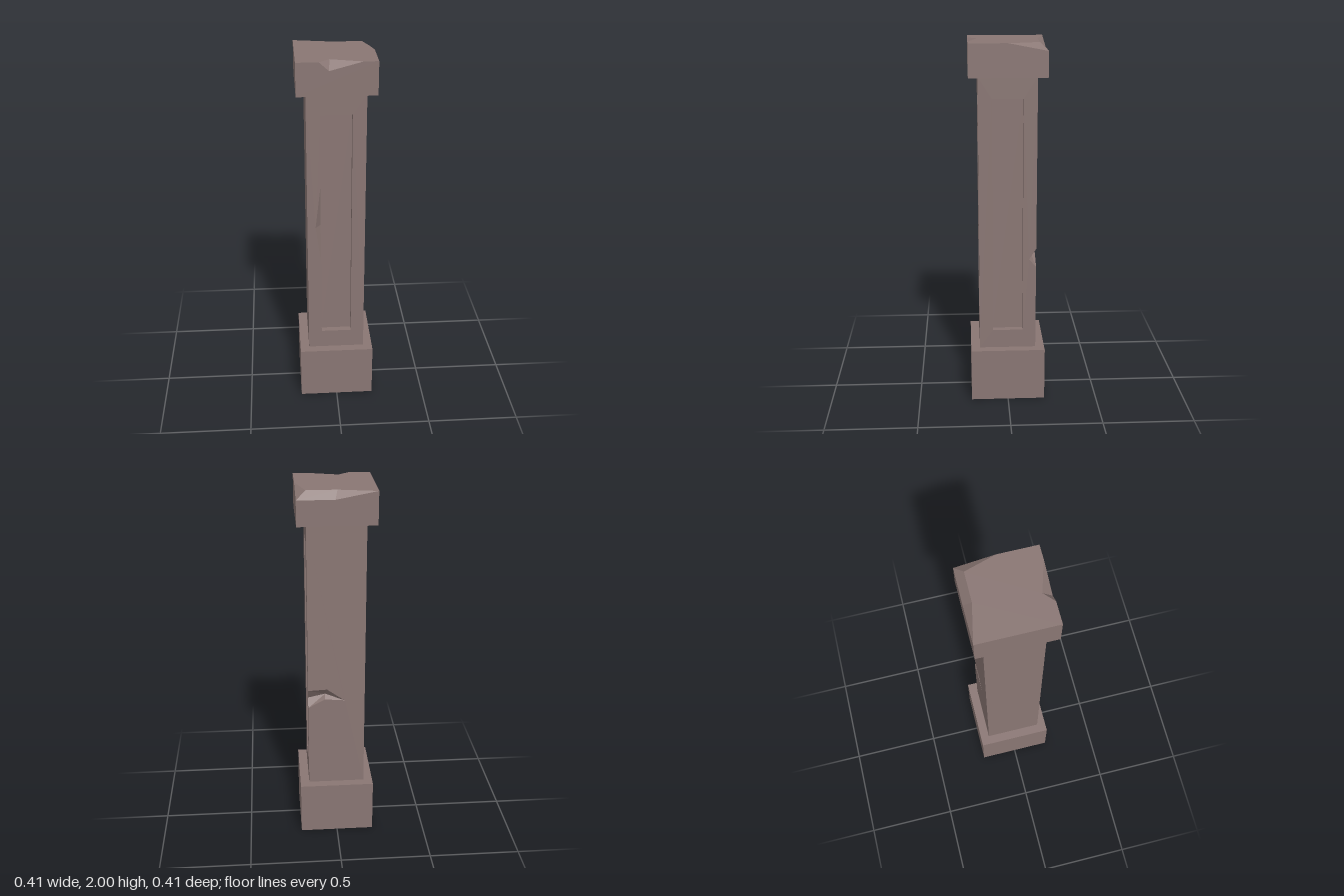
import * as THREE from 'three';

const V = (x, y, z) => new THREE.Vector3(x, y, z);

// Flat polygon faces (corners counter-clockwise from outside, optional hole) joined in one geometry
function facesToGeometry(faces) {
  const pos = [];
  for (const { pts, hole = [] } of faces) {
    const n = V(0, 0, 0);
    pts.forEach((a, i) => n.add(a.clone().cross(pts[(i + 1) % pts.length])));
    n.normalize();
    const u = (Math.abs(n.y) > 0.9 ? V(1, 0, 0) : V(0, 1, 0)).cross(n).normalize();
    const v = n.clone().cross(u);
    const flat = (list) => list.map((p) => new THREE.Vector2(p.dot(u), p.dot(v)));
    const all = [...pts, ...hole];
    const tris = THREE.ShapeUtils.triangulateShape(flat(pts), hole.length ? [flat(hole)] : []);
    for (const [i, j, k] of tris) {
      let [a, b, c] = [all[i], all[j], all[k]];
      if (b.clone().sub(a).cross(c.clone().sub(a)).dot(n) < 0) [b, c] = [c, b];
      pos.push(...a.toArray(), ...b.toArray(), ...c.toArray());
    }
  }
  const g = new THREE.BufferGeometry();
  g.setAttribute('position', new THREE.Float32BufferAttribute(pos, 3));
  g.computeVertexNormals();
  return g;
}

// Shaft with two recessed panels, a chipped panel edge and a chipped back corner
function shaftGeometry() {
  const s = 0.156, f = 0.121, y0 = 0.3, y1 = 1.825;
  const p = 0.083, b = 0.405, t = 1.71;
  const faces = [];
  const add = (pts, hole) => faces.push({ pts, hole });

  // Recess floor and walls; "turn" places the front layout on another side
  const recess = (turn, plainLeft) => {
    const quad = (...q) => add(q.map((c) => turn(...c)));
    quad([-p, b, f], [p, b, f], [p, t, f], [-p, t, f]);
    quad([p, b, f], [p, b, s], [p, t, s], [p, t, f]);
    quad([-p, b, s], [p, b, s], [p, b, f], [-p, b, f]);
    quad([-p, t, f], [p, t, f], [p, t, s], [-p, t, s]);
    if (plainLeft) quad([-p, b, s], [-p, b, f], [-p, t, f], [-p, t, s]);
  };
  const toSide = (x, y, z) => V(z, y, -x);
  recess(V, false);
  recess(toSide, true);

  // Front, with the long chip on the panel edge
  const cTop = V(-p, 1.32, s), cApex = V(-0.112, 1.07, s), cLow = V(-p, 0.85, s), cDeep = V(-p, 1.07, f);
  add([V(-s, y0, s), V(s, y0, s), V(s, y1, s), V(-s, y1, s)],
    [V(-p, b, s), V(p, b, s), V(p, t, s), V(-p, t, s), cTop, cApex, cLow]);
  add([V(-p, b, s), V(-p, b, f), cDeep, cLow]);
  add([cTop, cDeep, V(-p, t, f), V(-p, t, s)]);
  add([cTop, cApex, cDeep]);
  add([cApex, cLow, cDeep]);

  // Side and back, sharing the corner chip
  const U1 = V(s, 0.885, -s), U2 = V(0.052, 0.89, -s), T = V(-0.044, 0.82, -s);
  const L1 = V(s, 0.78, -s), L2 = V(0.064, 0.83, -s);
  const A = V(s, 0.825, -0.117), B = V(0.06, 0.85, -0.125);
  add([V(s, y0, s), V(s, y0, -s), L1, A, U1, V(s, y1, -s), V(s, y1, s)],
    [toSide(-p, b, s), toSide(p, b, s), toSide(p, t, s), toSide(-p, t, s)]);
  add([V(s, y0, -s), V(-s, y0, -s), V(-s, y1, -s), V(s, y1, -s), U1, U2, T, L2, L1]);
  add([U1, A, B, U2]);
  add([U2, B, T]);
  add([L1, L2, B, A]);
  add([L2, T, B]);

  // Plain side
  add([V(-s, y0, -s), V(-s, y0, s), V(-s, y1, s), V(-s, y1, -s)]);
  return facesToGeometry(faces);
}

// Cap slab with a broken back edge and a front chip
function capGeometry() {
  const h = 0.206, c = 1.825;
  const L = V(-h, 2, -h), P = V(-0.003, 2, -0.164), Q = V(0.156, 2, -0.164);
  const R = V(h, 1.96, -h), S = V(0.01, 1.96, -h), M = V(h, 2, 0);
  const W = V(-0.09, 2, h), K = V(-0.04, 1.955, h), N = V(-0.035, 2, 0.156), E = V(0.13, 2, h);
  return facesToGeometry([
    [V(-h, c, -h), V(h, c, -h), V(h, c, h), V(-h, c, h)],
    [V(-h, c, h), V(h, c, h), V(h, 2, h), E, K, W, V(-h, 2, h)],
    [V(h, c, h), V(h, c, -h), R, M, V(h, 2, h)],
    [V(h, c, -h), V(-h, c, -h), L, S, R],
    [V(-h, c, -h), V(-h, c, h), V(-h, 2, h), L],
    [V(-h, 2, h), W, N, E, V(h, 2, h), M, Q, P, L],
    [P, Q, R, S], [L, P, S], [Q, M, R],
    [W, K, N], [K, E, N],
  ].map((pts) => ({ pts })));
}

export function createModel() {
  const stone = new THREE.MeshStandardMaterial({ color: 0x897673 });
  stone.name = 'stone';
  const group = new THREE.Group();
  group.name = 'stonePillar';
  const add = (name, geometry) => {
    const mesh = new THREE.Mesh(geometry, stone);
    mesh.name = name;
    group.add(mesh);
  };
  add('base', new THREE.BoxGeometry(0.412, 0.3, 0.412).translate(0, 0.15, 0));
  add('shaft', shaftGeometry());
  add('cap', capGeometry());
  return group;
}
